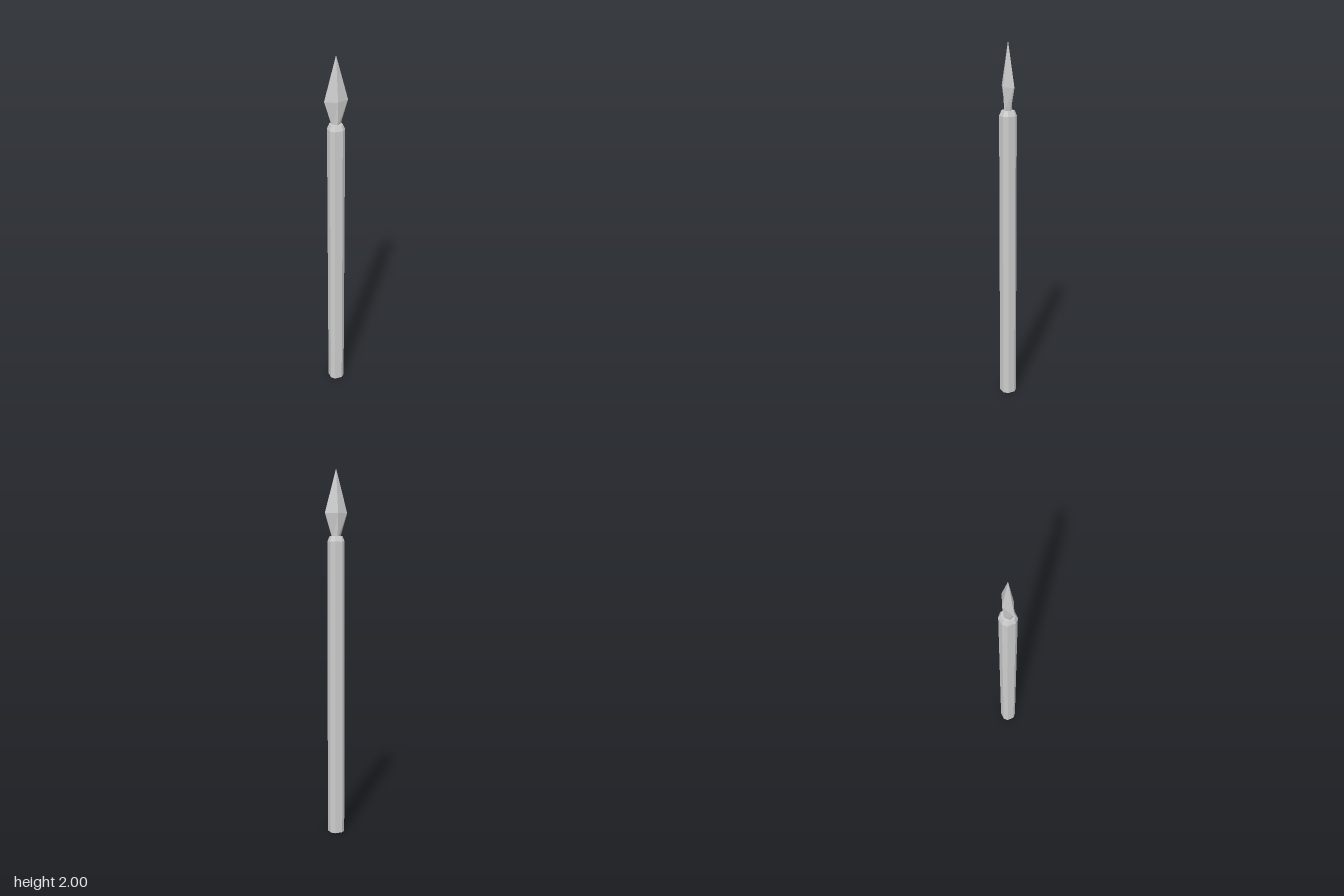
import * as THREE from 'three';

// Closed faceted solid through horizontal rings of [x, y, z] points (bottom to top)
function loft(rings) {
  const pos = [];
  const n = rings[0].length;
  const tri = (...pts) => pts.forEach((p) => pos.push(...p));
  for (let r = 0; r < rings.length - 1; r++) {
    for (let i = 0; i < n; i++) {
      const j = (i + 1) % n;
      const [a, b, c, d] = [rings[r][i], rings[r + 1][i], rings[r + 1][j], rings[r][j]];
      tri(a, b, d);
      tri(b, c, d);
    }
  }
  const bottom = rings[0];
  const top = rings[rings.length - 1];
  for (let i = 1; i < n - 1; i++) {
    tri(bottom[0], bottom[i], bottom[i + 1]);
    tri(top[0], top[i + 1], top[i]);
  }
  const geo = new THREE.BufferGeometry();
  geo.setAttribute('position', new THREE.Float32BufferAttribute(pos, 3));
  geo.computeVertexNormals();
  return geo;
}

// Eight-sided shaft section: outer half width r, half length of the flats c
const octagon = (y, r, c) =>
  [[r, -c], [r, c], [c, r], [-c, r], [-r, c], [-r, -c], [-c, -r], [c, -r]].map(([x, z]) => [x, y, z]);

// Blade section: half width w, ridge half depth d, cutting edge half thickness e
const diamond = (y, w, d, e) =>
  [[w, -e], [w, e], [0, d], [-w, e], [-w, -e], [0, -d]].map(([x, z]) => [x, y, z]);

export function createModel() {
  const group = new THREE.Group();
  group.name = 'spear';
  const material = new THREE.MeshStandardMaterial({ color: 0xcccccc, flatShading: true });
  const add = (name, geometry) => {
    const mesh = new THREE.Mesh(geometry, material);
    mesh.name = name;
    group.add(mesh);
  };

  // Octagonal shaft with a chamfered upper end
  add('shaft', loft([octagon(0, 0.0415, 0.021), octagon(1.62, 0.0415, 0.021), octagon(1.648, 0.03, 0.018)]));

  // Ridged leaf blade, its root sunk slightly into the shaft
  add('blade', loft([
    diamond(1.635, 0.021, 0.022, 0.003),
    diamond(1.77, 0.063, 0.03, 0.003),
    diamond(2, 0.0005, 0.0005, 0.0002),
  ]));

  return group;
}
